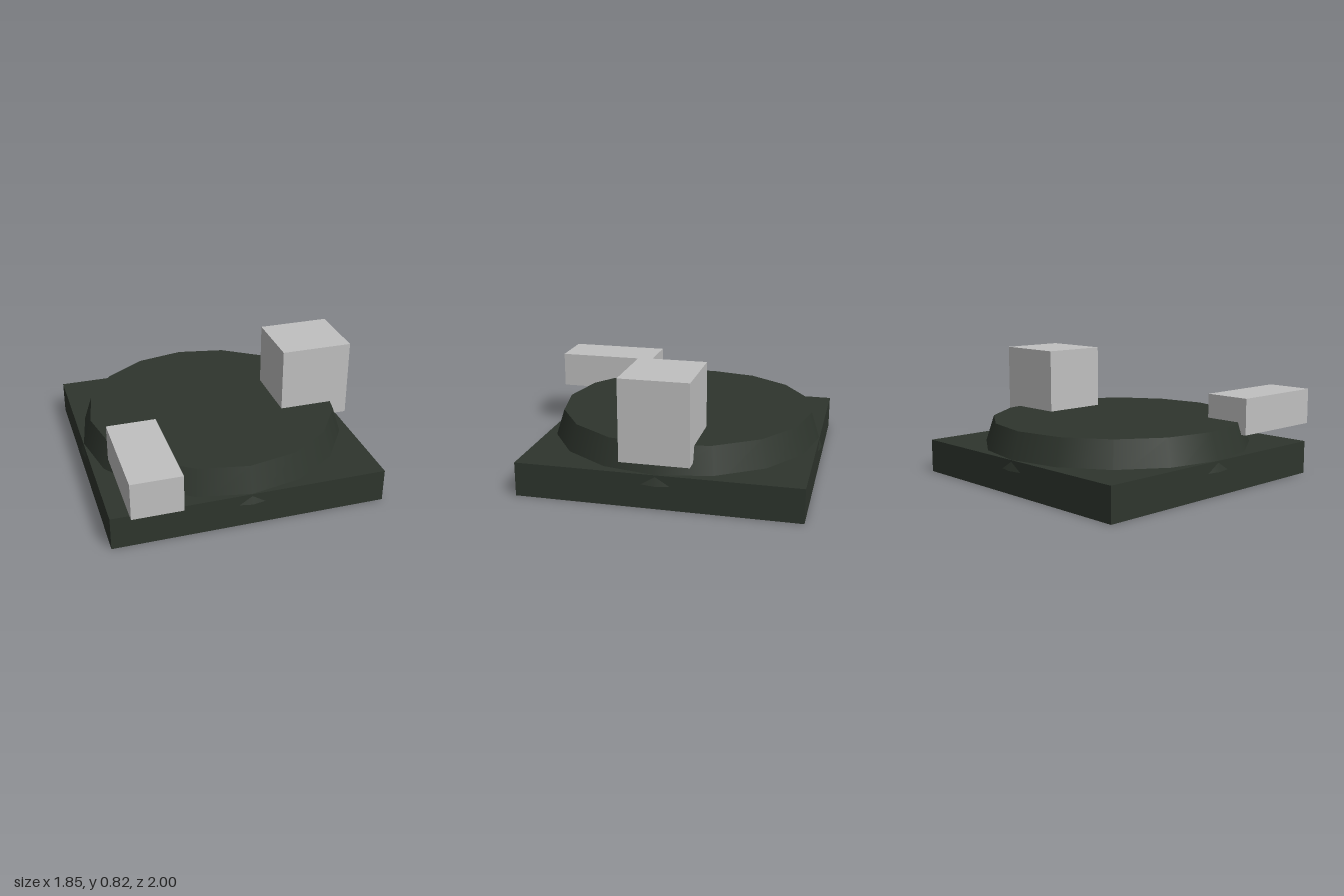
import * as THREE from 'three';

const darkGreen = new THREE.MeshStandardMaterial({ name: 'darkGreen', color: 0x2e352d });
const lightGrey = new THREE.MeshStandardMaterial({ name: 'lightGrey', color: 0xc0c0c0 });

// Box given by its minimum and maximum corners
function block(name, material, min, max) {
  const size = max.map((v, i) => v - min[i]);
  const mesh = new THREE.Mesh(new THREE.BoxGeometry(...size), material);
  mesh.position.set(...max.map((v, i) => (v + min[i]) / 2));
  mesh.name = name;
  return mesh;
}

export function createModel() {
  const model = new THREE.Group();
  model.name = 'platform';

  // Square slab
  model.add(block('base', darkGreen, [-0.907, 0, -0.982], [0.907, 0.222, 0.833]));

  // Sixteen-sided tapered platform whose lower corners poke through the slab
  const drum = new THREE.Mesh(new THREE.CylinderGeometry(0.848, 0.925, 0.24, 16), darkGreen);
  drum.name = 'roundPlatform';
  drum.position.set(0, 0.275, -0.075);
  model.add(drum);

  // Crates resting on the rim
  model.add(block('tallCrate', lightGrey, [0.443, 0.295, -0.295], [0.925, 0.82, 0.148]));
  model.add(block('longCrate', lightGrey, [-0.808, 0.315, 0.312], [-0.485, 0.558, 1.0]));

  return model;
}
